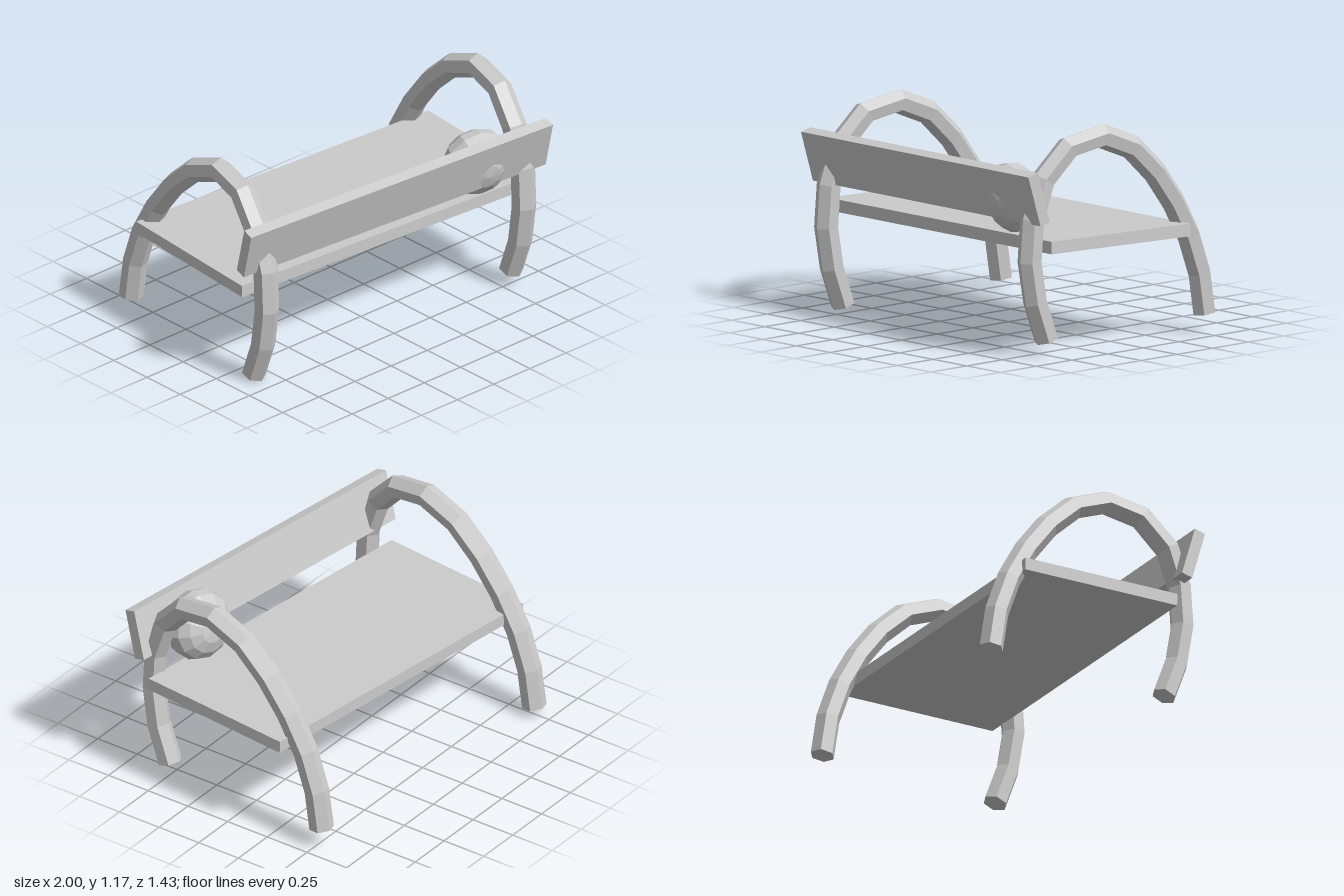
import * as THREE from 'three';

const material = new THREE.MeshStandardMaterial({ color: 0xcccccc, flatShading: true });

function part(name, geometry, x, y, z) {
  const mesh = new THREE.Mesh(geometry, material);
  mesh.name = name;
  mesh.position.set(x, y, z);
  return mesh;
}

// Board turned by yaw, roll and pitch
function board(name, size, position, pitch, yaw) {
  const mesh = part(name, new THREE.BoxGeometry(...size), ...position);
  mesh.rotation.set(pitch, yaw, 0.024, 'YZX');
  return mesh;
}

// Six-sided bar swept along an arch from front foot to back foot
function archGeometry() {
  const path = new THREE.CatmullRomCurve3([
    [0.81, 0.081, 0.50], [0.805, 0.305, 0.58], [0.80, 0.525, 0.609], [0.805, 0.73, 0.59],
    [0.81, 0.90, 0.53], [0.835, 1.04, 0.414], [0.865, 1.107, 0.263], [0.88, 1.085, 0.105],
    [0.885, 1.00, -0.055], [0.89, 0.81, -0.235], [0.892, 0.58, -0.385],
    [0.897, 0.345, -0.48], [0.90, 0.105, -0.52],
  ].map((p) => new THREE.Vector3(...p)));
  const hexagon = new THREE.Shape();
  for (let i = 0; i < 6; i++) {
    const a = Math.PI / 2 + (i * Math.PI) / 3;
    hexagon[i ? 'lineTo' : 'moveTo'](0.064 * Math.cos(a), 0.064 * Math.sin(a));
  }
  hexagon.closePath();
  return new THREE.ExtrudeGeometry(hexagon, { steps: 12, bevelEnabled: false, extrudePath: path });
}

export function createModel() {
  const model = new THREE.Group();
  model.name = 'bench';

  // Seat and tilted rail
  model.add(board('seat', [1.865, 0.065, 0.895], [0.03, 0.55, 0.025], -0.008, -0.097));
  model.add(board('backrest', [1.915, 0.27, 0.062], [-0.038, 0.815, 0.548], 0.27, -0.105));

  // Arched legs, one at each end
  const arch = archGeometry();
  model.add(part('leftArch', arch, 0, 0, 0));
  model.add(part('rightArch', arch, -1.655, -0.06, -0.135));

  // Flattened cushion pressed through the rail, pole along its short axis
  const cushion = part('cushion', new THREE.SphereGeometry(1, 12, 8).rotateX(Math.PI / 2), 0.57, 0.785, 0.50);
  cushion.scale.set(0.187, 0.187, 0.14);
  const axis = new THREE.Vector3(-0.25, -0.22, 0.94).normalize();
  cushion.quaternion.setFromUnitVectors(new THREE.Vector3(0, 0, 1), axis);
  model.add(cushion);

  return model;
}
